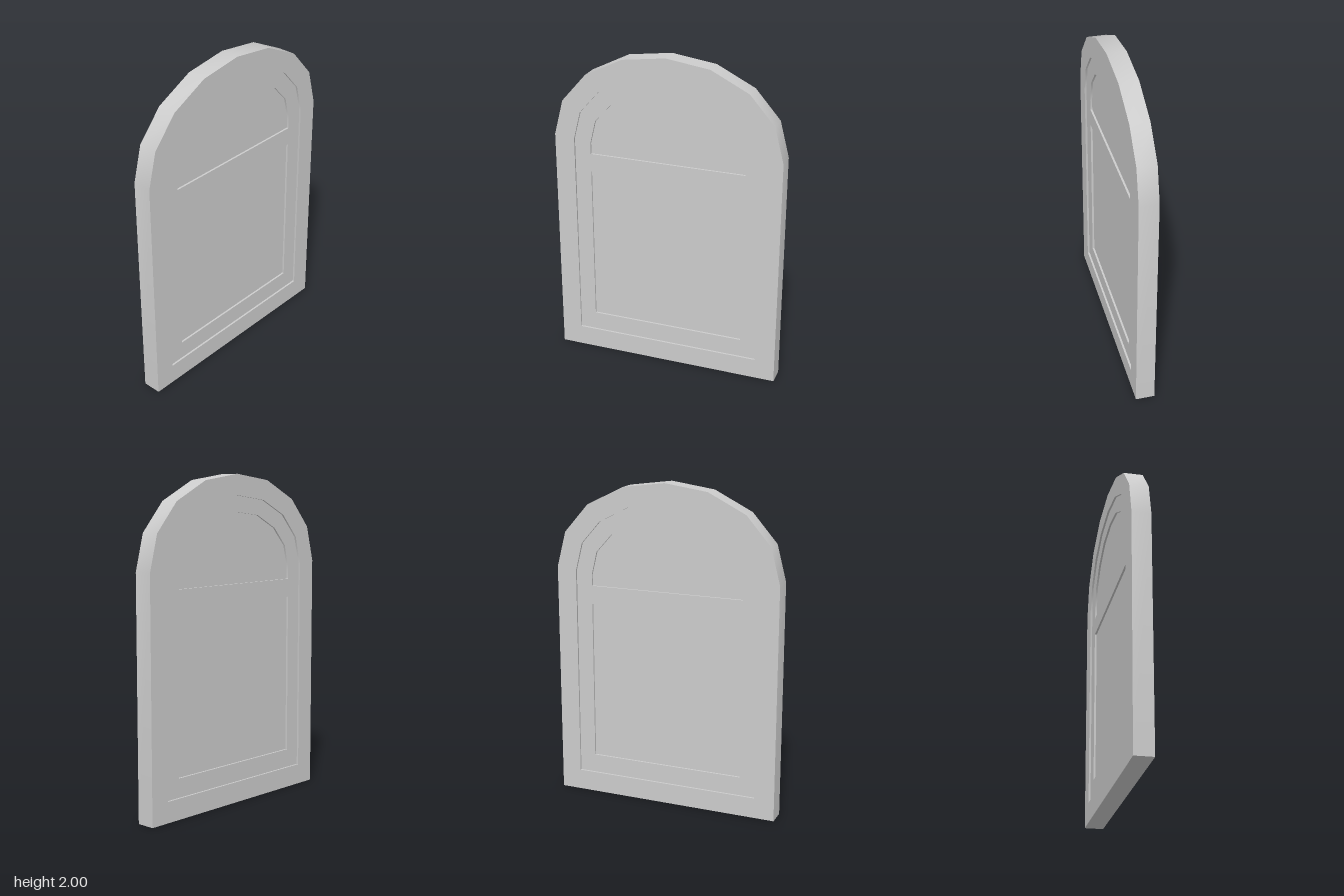
import * as THREE from 'three';
import { toCreasedNormals } from 'three/addons/utils/BufferGeometryUtils.js';

// Right half of each arch, from the springing up to just before the crown
const FRAME_ARCH = [[0.712, 1.453], [0.655, 1.671], [0.502, 1.846], [0.268, 1.963]];
const SASH_ARCH = [[0.587, 1.438], [0.543, 1.61], [0.42, 1.75], [0.235, 1.843]];
const PANE_ARCH = [[0.486, 1.416], [0.451, 1.56], [0.351, 1.671], [0.194, 1.753]];

// Symmetric arched outline with a flat bottom, counter-clockwise
function archOutline(half, crown, bottom) {
  const w = half[0][0];
  const mirrored = half.map(([x, y]) => [-x, y]).reverse();
  return [[-w, bottom], [w, bottom], ...half, [0, crown], ...mirrored]
    .map(([x, y]) => new THREE.Vector2(x, y));
}

function rectOutline(w, y0, y1) {
  return [[-w, y0], [w, y0], [w, y1], [-w, y1]].map(([x, y]) => new THREE.Vector2(x, y));
}

export function createModel() {
  const group = new THREE.Group();
  group.name = 'archedDoor';
  const grey = new THREE.MeshStandardMaterial({ color: 0xcccccc });
  grey.name = 'plain grey';

  // Slab centred on z = 0, smooth around the arch and sharp at the corners
  function addSlab(name, outline, holes, depth) {
    const shape = new THREE.Shape(outline);
    shape.holes = holes.map((h) => new THREE.Path(h));
    const geo = new THREE.ExtrudeGeometry(shape, { depth, bevelEnabled: false });
    geo.translate(0, 0, -depth / 2);
    const mesh = new THREE.Mesh(toCreasedNormals(geo, THREE.MathUtils.degToRad(40)), grey);
    mesh.name = name;
    group.add(mesh);
  }

  const frame = archOutline(FRAME_ARCH, 2, 0);
  const sash = archOutline(SASH_ARCH, 1.875, 0.128);
  const upper = archOutline(PANE_ARCH, 1.777, 1.347);
  const lower = rectOutline(0.486, 0.244, 1.233);

  // Each inner layer is set back a little on both faces
  addSlab('outerFrame', frame, [sash], 0.116);
  addSlab('innerFrame', sash, [upper, lower], 0.092);
  addSlab('upperPanel', upper, [], 0.068);
  addSlab('lowerPanel', lower, [], 0.068);

  return group;
}
